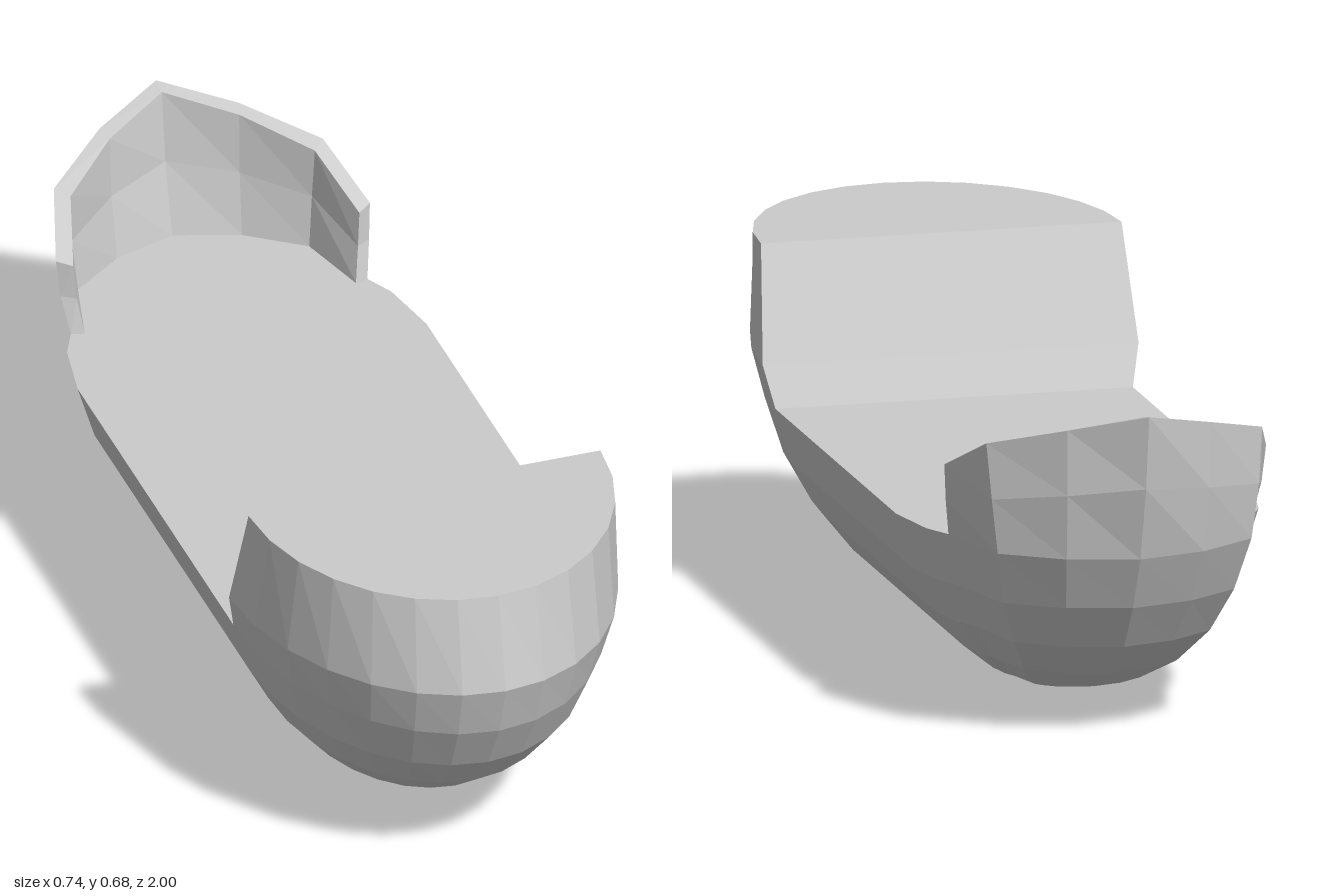
import * as THREE from 'three';

const mat = new THREE.MeshStandardMaterial({ color: 0xcccccc, flatShading: true });
const thinMat = new THREE.MeshStandardMaterial({ color: 0xcccccc, flatShading: true, side: THREE.DoubleSide });

// Skin a list of equally long rows of points; outward when rows run upwards.
function skin(name, rows, material = mat, closed = false) {
  const pos = [];
  const tri = (a, b, c) => {
    const area = b.clone().sub(a).cross(c.clone().sub(a)).length();
    if (area > 1e-8) for (const p of [a, b, c]) pos.push(p.x, p.y, p.z);
  };
  for (let r = 0; r < rows.length - 1; r++) {
    const lo = rows[r], hi = rows[r + 1], n = lo.length;
    for (let i = 0; i < (closed ? n : n - 1); i++) {
      const j = (i + 1) % n;
      tri(lo[i], hi[i], hi[j]);
      tri(lo[i], hi[j], lo[j]);
    }
  }
  const geo = new THREE.BufferGeometry();
  geo.setAttribute('position', new THREE.Float32BufferAttribute(pos, 3));
  geo.computeVertexNormals();
  const mesh = new THREE.Mesh(geo, material);
  mesh.name = name;
  return mesh;
}

const V = (x, y, z) => new THREE.Vector3(x, y, z);
// Mirror a half row (side to centre line) into a full row from -x to +x.
const mirrorRow = half => [
  ...half.map(([x, y, z]) => V(-x, y, z)),
  ...half.slice(0, -1).reverse().map(([x, y, z]) => V(x, y, z)),
];

const SEG = 14;
// Rounded half outline from +x to -x; yc is the height at its ends.
function frontArc(w, zc, zEnd, y, yc = y) {
  return Array.from({ length: SEG + 1 }, (_, i) => {
    const t = Math.PI * i / SEG, s = Math.sin(t);
    return V(w * Math.cos(t), yc + (y - yc) * s, zc + (zEnd - zc) * s);
  });
}

// Slightly pointed half outline from -x to +x.
const BOW = [[1, 0], [0.93, 0.27], [0.85, 0.39], [0.71, 0.76], [0.385, 0.925], [0, 1]];
const rearArc = (w, zc, zEnd, y) =>
  mirrorRow(BOW.map(([u, v]) => [u * w, y, zc + (zEnd - zc) * v]));

const outline = ([y, w, zFront, zRear, cFront, cRear]) =>
  [...frontArc(w, cFront, zFront, y), ...rearArc(w, cRear, zRear, y)];

export function createModel() {
  const model = new THREE.Group();

  // Hull: horizontal outlines from keel to deck
  // [height, half width, front end, rear end, front arc centre, rear arc centre]
  const levels = [
    [0.015, 0.075, 0.47, -0.44, 0.36, -0.33],
    [0.05, 0.145, 0.6, -0.59, 0.385, -0.39],
    [0.103, 0.21, 0.71, -0.71, 0.395, -0.42],
    [0.178, 0.27, 0.815, -0.815, 0.41, -0.435],
    [0.268, 0.318, 0.9, -0.88, 0.43, -0.445],
    [0.375, 0.35, 0.963, -0.935, 0.44, -0.45],
  ].map(outline);
  const keel = levels[0].map(p => {
    const z = THREE.MathUtils.clamp(p.z, -0.34, 0.45);
    return V(0, 0.014 * (z + 0.34) / 0.79, z);
  });
  model.add(skin('hull', [keel, ...levels], mat, true));

  // Flat deck behind the raised front
  const rim = levels[levels.length - 1];
  const deckEdge = rim.slice(SEG);
  deckEdge.push(rim[0]);
  model.add(skin('deck', [deckEdge, deckEdge.map(p => V(0, p.y, p.z))]));

  // Raised front block with its flat top and sloping rear face
  const arcs = [
    rim.slice(0, SEG + 1),
    frontArc(0.368, 0.466, 1.0, 0.485, 0.455),
    frontArc(0.353, 0.535, 0.96, 0.675),
  ];
  const chords = arcs.map(a => a.map(p => V(p.x, a[0].y, a[0].z))).reverse();
  model.add(skin('raisedFront', [...arcs, ...chords]));

  // Rear bulwark: thin wall rising towards the tip
  const foot = BOW.slice(2).map(([u, v]) => [u * 0.35, 0.375, -0.45 - 0.485 * v]);
  const top = [[0.315, 0.52, -0.675], [0.27, 0.59, -0.815], [0.14, 0.632, -0.925], [0, 0.667, -1]];
  const topIn = [[0.287, 0.515, -0.655], [0.245, 0.583, -0.79], [0.13, 0.625, -0.895], [0, 0.66, -0.967]];
  const footIn = [[0.272, 0.375, -0.632], [0.232, 0.375, -0.785], [0.125, 0.375, -0.865], [0, 0.375, -0.908]];
  const middle = (a, b, bulge) => a.map((p, i) => [
    (p[0] + b[i][0]) / 2 * (1 + bulge), (p[1] + b[i][1]) / 2, (p[2] + b[i][2]) / 2 * (1 + bulge)]);
  const wall = [foot, middle(foot, top, 0.01), top, topIn, middle(footIn, topIn, 0.01), footIn].map(mirrorRow);
  const bulwark = new THREE.Group();
  bulwark.name = 'rearBulwark';
  bulwark.add(skin('bulwarkWall', wall, thinMat));
  for (const [name, i] of [['bulwarkEndRight', 0], ['bulwarkEndLeft', wall[0].length - 1]]) {
    const e = wall.map(row => row[i]);
    bulwark.add(skin(name, [[e[0], e[1], e[2]], [e[5], e[4], e[3]]], thinMat));
  }
  model.add(bulwark);

  return model;
}
